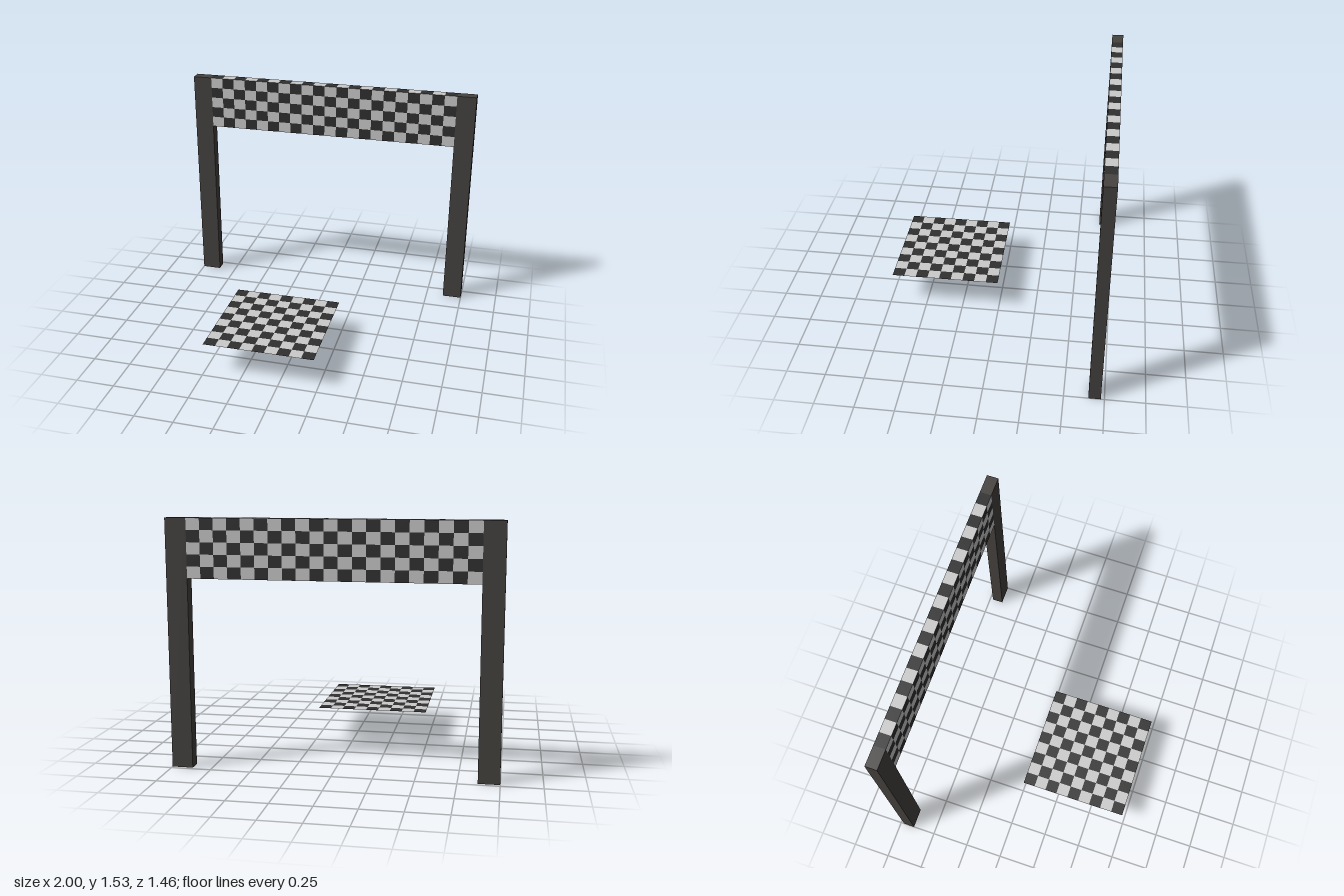
import * as THREE from 'three';
import { mergeGeometries } from 'three/addons/utils/BufferGeometryUtils.js';

const light = new THREE.MeshStandardMaterial({ color: 0xcccccc, side: THREE.DoubleSide });
const dark = new THREE.MeshStandardMaterial({ color: 0x303030, side: THREE.DoubleSide });
const postMaterial = new THREE.MeshStandardMaterial({ color: 0x464340 });

// Flat chequered panel in the XY plane; the top left tile is light or dark
function checkerPanel(name, width, height, cols, rows, startLight) {
  const tiles = [[], []];
  const w = width / cols, h = height / rows;
  for (let r = 0; r < rows; r++) {
    for (let c = 0; c < cols; c++) {
      const tile = new THREE.PlaneGeometry(w, h);
      tile.translate((c + 0.5) * w - width / 2, height / 2 - (r + 0.5) * h, 0);
      tiles[(r + c + (startLight ? 0 : 1)) % 2].push(tile);
    }
  }
  const panel = new THREE.Group();
  panel.name = name;
  [light, dark].forEach((material, i) => {
    const mesh = new THREE.Mesh(mergeGeometries(tiles[i]), material);
    mesh.name = name + (i ? 'DarkTiles' : 'LightTiles');
    panel.add(mesh);
  });
  return panel;
}

export function createModel() {
  const model = new THREE.Group();
  model.name = 'finishGate';
  const top = 1.53, depth = 0.076, gateZ = -0.69, postWidth = 0.13;
  const span = 2 - 2 * postWidth, bannerHeight = 0.36;

  // Two square posts
  for (const side of [-1, 1]) {
    const post = new THREE.Mesh(new THREE.BoxGeometry(postWidth, top, depth), postMaterial);
    post.name = side > 0 ? 'leftPost' : 'rightPost';
    post.position.set(side * (1 - postWidth / 2), top / 2, gateZ);
    model.add(post);
  }

  // Banner between the posts: chequered front, back and top, plain underside
  const banner = new THREE.Group();
  banner.name = 'banner';
  banner.position.set(0, top - bannerHeight / 2, gateZ);
  const front = checkerPanel('bannerFront', span, bannerHeight, 21, 5, true);
  front.position.z = depth / 2;
  const back = checkerPanel('bannerBack', span, bannerHeight, 21, 5, true);
  back.rotation.y = Math.PI;
  back.position.z = -depth / 2;
  const bannerTop = checkerPanel('bannerTop', span, depth, 21, 1, false);
  bannerTop.rotation.x = -Math.PI / 2;
  bannerTop.position.y = bannerHeight / 2;
  const underside = new THREE.Mesh(new THREE.PlaneGeometry(span, depth), light);
  underside.name = 'bannerUnderside';
  underside.rotation.x = Math.PI / 2;
  underside.position.y = -bannerHeight / 2;
  banner.add(front, back, bannerTop, underside);
  model.add(banner);

  // Chequered sheet lying level in front of the gate
  const sheet = checkerPanel('floorSheet', 0.722, 0.722, 9, 9, false);
  sheet.rotation.x = -Math.PI / 2;
  sheet.position.set(-0.133, 0.22, 0.367);
  model.add(sheet);

  return model;
}
